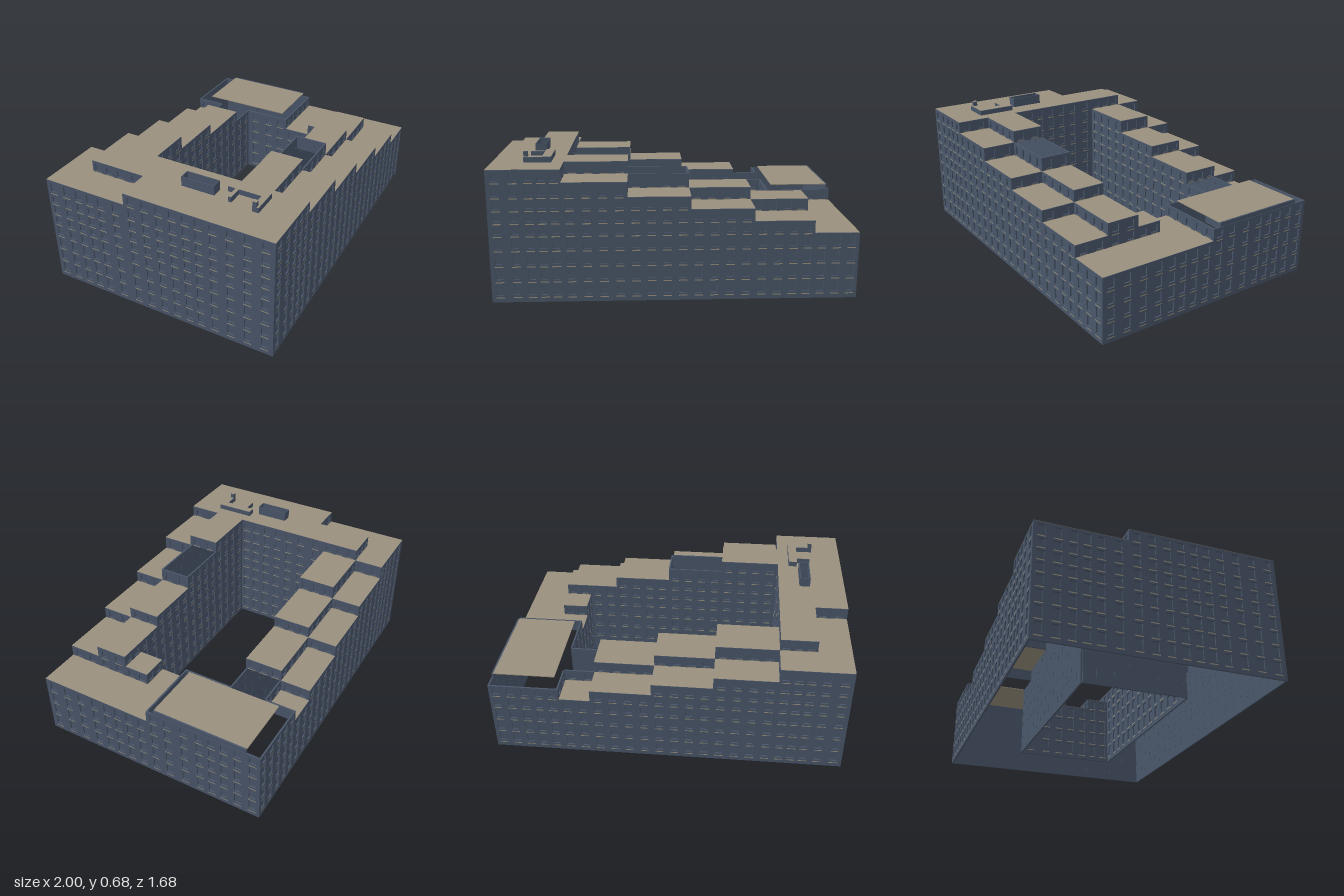
import * as THREE from 'three';
import { mergeGeometries } from 'three/addons/utils/BufferGeometryUtils.js';

// Plan coordinates: u runs along the front street, v runs back from it.
const U = [0, 0.16, 0.335, 0.635, 0.925, 1.22, 1.37, 1.5, 1.71];
const V = [0, 0.17, 0.335, 0.46, 0.6, 0.75, 0.85, 1.04, 1.19];
const LEVELS = [0.025, 0.1, 0.175, 0.25, 0.32, 0.38, 0.44, 0.5, 0.57, 0.63];
const WALL = 0.008;

// Blocks: u0, u1, v0, v1, height, has roof (later entries override earlier ones)
const BLOCKS = [
  [0, 0.335, 0, 1.19, 0.63, true],            // tall end wing
  [0, 0.16, 0.75, 1.19, 0.57, true],
  [0, 0.335, 1.04, 1.19, 0.57, true],
  [1.37, 1.71, 0, 0.6, 0.32, true],           // low end wing
  [1.37, 1.71, 0.6, 1.19, 0.38, false],
  [1.37, 1.5, 0.335, 0.46, 0.38, true],
  [0.335, 0.635, 0, 0.17, 0.57, true],        // front wing, street row
  [0.635, 0.925, 0, 0.17, 0.5, true],
  [0.925, 1.22, 0, 0.17, 0.44, true],
  [1.22, 1.5, 0, 0.17, 0.38, true],
  [0.335, 0.635, 0.17, 0.335, 0.63, true],    // front wing, courtyard row
  [0.635, 0.925, 0.17, 0.335, 0.57, false],
  [0.925, 1.22, 0.17, 0.335, 0.5, true],
  [1.22, 1.5, 0.17, 0.335, 0.44, true],
  [0.335, 0.635, 1.04, 1.19, 0.5, true],      // back wing, street row
  [0.635, 0.925, 1.04, 1.19, 0.44, true],
  [0.925, 1.22, 1.04, 1.19, 0.38, true],
  [1.22, 1.37, 1.04, 1.19, 0.32, true],
  [0.335, 0.635, 0.85, 1.04, 0.57, true],     // back wing, courtyard row
  [0.635, 0.925, 0.85, 1.04, 0.5, true],
  [0.925, 1.22, 0.85, 1.04, 0.44, true],
  [1.22, 1.37, 0.85, 1.04, 0.38, false],
];

function blockAt(i, j) {
  if (i < 0 || j < 0 || i >= U.length - 1 || j >= V.length - 1) return null;
  const u = (U[i] + U[i + 1]) / 2, v = (V[j] + V[j + 1]) / 2;
  let hit = null;
  for (const b of BLOCKS) if (u > b[0] && u < b[1] && v > b[2] && v < b[3]) hit = b;
  return hit;
}

function rectPath(Type, x0, y0, x1, y1) {
  const p = new Type();
  p.moveTo(x0, y0); p.lineTo(x1, y0); p.lineTo(x1, y1); p.lineTo(x0, y1); p.closePath();
  return p;
}

export function createModel() {
  const wallMat = new THREE.MeshStandardMaterial({ color: 0x495568, side: THREE.DoubleSide });
  wallMat.name = 'slate wall';
  const roofMat = new THREE.MeshStandardMaterial({ color: 0x998f7d, side: THREE.DoubleSide });
  roofMat.name = 'tan roof';

  const walls = [], panes = [], sills = [], roofs = [];

  // One facade strip with window openings, recessed panes and slab edges
  function addWall(u, v, turn, length, y0, y1) {
    const place = (g) => g.rotateY(turn).translate(u, 0, -v);
    const shape = rectPath(THREE.Shape, 0, y0, length, y1);
    const bays = Math.max(1, Math.round(length / 0.07));
    const bay = length / bays;
    for (let k = 0; k < LEVELS.length - 1; k++) {
      const lo = LEVELS[k], hi = LEVELS[k + 1];
      if (lo < y0 - 0.005 || hi > y1 + 0.005) continue;
      for (let b = 0; b < bays; b++) {
        const c = (b + 0.5) * bay, half = 0.0165;
        shape.holes.push(rectPath(THREE.Path, c - half, lo + 0.01, c + half, hi - 0.014));
        const sill = new THREE.PlaneGeometry(0.04, 0.005);
        sills.push(place(sill.translate(c, lo + (lo === y0 ? 0.004 : -0.002), 0.001)));
      }
    }
    const g = new THREE.ExtrudeGeometry(shape, { depth: WALL, bevelEnabled: false });
    walls.push(place(g.translate(0, 0, -WALL)));
    const pane = new THREE.PlaneGeometry(length - 0.004, y1 - y0 - 0.004);
    panes.push(place(pane.translate(length / 2, (y0 + y1) / 2, -WALL * 0.9)));
  }

  // Walls rise wherever a block is taller than its neighbour
  for (let i = 0; i < U.length - 1; i++) {
    for (let j = 0; j < V.length - 1; j++) {
      const b = blockAt(i, j);
      if (!b) continue;
      const h = b[4], du = U[i + 1] - U[i], dv = V[j + 1] - V[j];
      const sides = [
        [0, -1, U[i], V[j], 0, du],
        [0, 1, U[i + 1], V[j + 1], Math.PI, du],
        [1, 0, U[i + 1], V[j], Math.PI / 2, dv],
        [-1, 0, U[i], V[j + 1], -Math.PI / 2, dv],
      ];
      for (const [di, dj, u, v, turn, length] of sides) {
        const n = blockAt(i + di, j + dj);
        const low = n ? n[4] : 0;
        if (low < h - 0.001) addWall(u, v, turn, length, low, h);
      }
      // The tall wing has its own roof below
      if (b[5] && !(h === 0.63 && U[i] < 0.33)) {
        roofs.push(new THREE.PlaneGeometry(du, dv).rotateX(-Math.PI / 2)
          .translate(U[i] + du / 2, h + 0.002, -V[j] - dv / 2));
      }
    }
  }

  // Roof of the tall wing, with a shaft opening
  const top = new THREE.Shape([[0, 0], [0.335, 0], [0.335, 1.04], [0.16, 1.04], [0.16, 0.75], [0, 0.75]]
    .map(([x, y]) => new THREE.Vector2(x, y)));
  top.holes.push(rectPath(THREE.Path, 0.18, 0.39, 0.225, 0.55));
  roofs.push(new THREE.ShapeGeometry(top).rotateX(-Math.PI / 2).translate(0, 0.632, 0));

  const site = new THREE.Group();
  site.name = 'building';
  const add = (geometry, material, name) => {
    const m = new THREE.Mesh(geometry, material);
    m.name = name;
    site.add(m);
  };
  add(mergeGeometries(walls), wallMat, 'facadeWalls');
  add(mergeGeometries(panes), wallMat, 'windowPanes');
  add(mergeGeometries(sills), roofMat, 'slabEdges');
  add(mergeGeometries(roofs), roofMat, 'roofTerraces');

  // Raised roof plate over the low back corner, with a parapet on its outer side
  add(new THREE.BoxGeometry(0.3, 0.004, 0.48).translate(1.55, 0.399, -0.88), roofMat, 'cornerRoof');
  add(new THREE.BoxGeometry(WALL, 0.03, 0.48).translate(1.704, 0.386, -0.88), wallMat, 'cornerParapet');

  // Open shaft on the tall roof
  const shaft = rectPath(THREE.Shape, 0.176, 0.386, 0.229, 0.554);
  shaft.holes.push(rectPath(THREE.Path, 0.18, 0.39, 0.225, 0.55));
  add(new THREE.ExtrudeGeometry(shaft, { depth: 0.05, bevelEnabled: false })
    .rotateX(-Math.PI / 2).translate(0, 0.63, 0), wallMat, 'roofShaft');

  // Low plant enclosure on the tall roof: u0, u1, v0, v1, top
  const plant = [
    [0.235, 0.278, 0.18, 0.35, 0.657], [0.15, 0.278, 0.155, 0.185, 0.657],
    [0.166, 0.235, 0.295, 0.312, 0.657], [0.15, 0.17, 0.165, 0.185, 0.682],
  ];
  for (const [u0, u1, v0, v1, y] of plant) {
    const h = y - 0.63, cu = (u0 + u1) / 2, cv = -(v0 + v1) / 2;
    add(new THREE.BoxGeometry(u1 - u0, h, v1 - v0).translate(cu, 0.63 + h / 2, cv), wallMat, 'plantWall');
    add(new THREE.PlaneGeometry(u1 - u0, v1 - v0).rotateX(-Math.PI / 2)
      .translate(cu, y + 0.002, cv), roofMat, 'plantRoof');
  }

  // Turn the plan to its street angle
  site.rotation.y = 0.3272;
  site.position.set(-0.619, 0, 0.838);
  const model = new THREE.Group();
  model.name = 'steppedCourtyardBuilding';
  model.add(site);
  return model;
}
